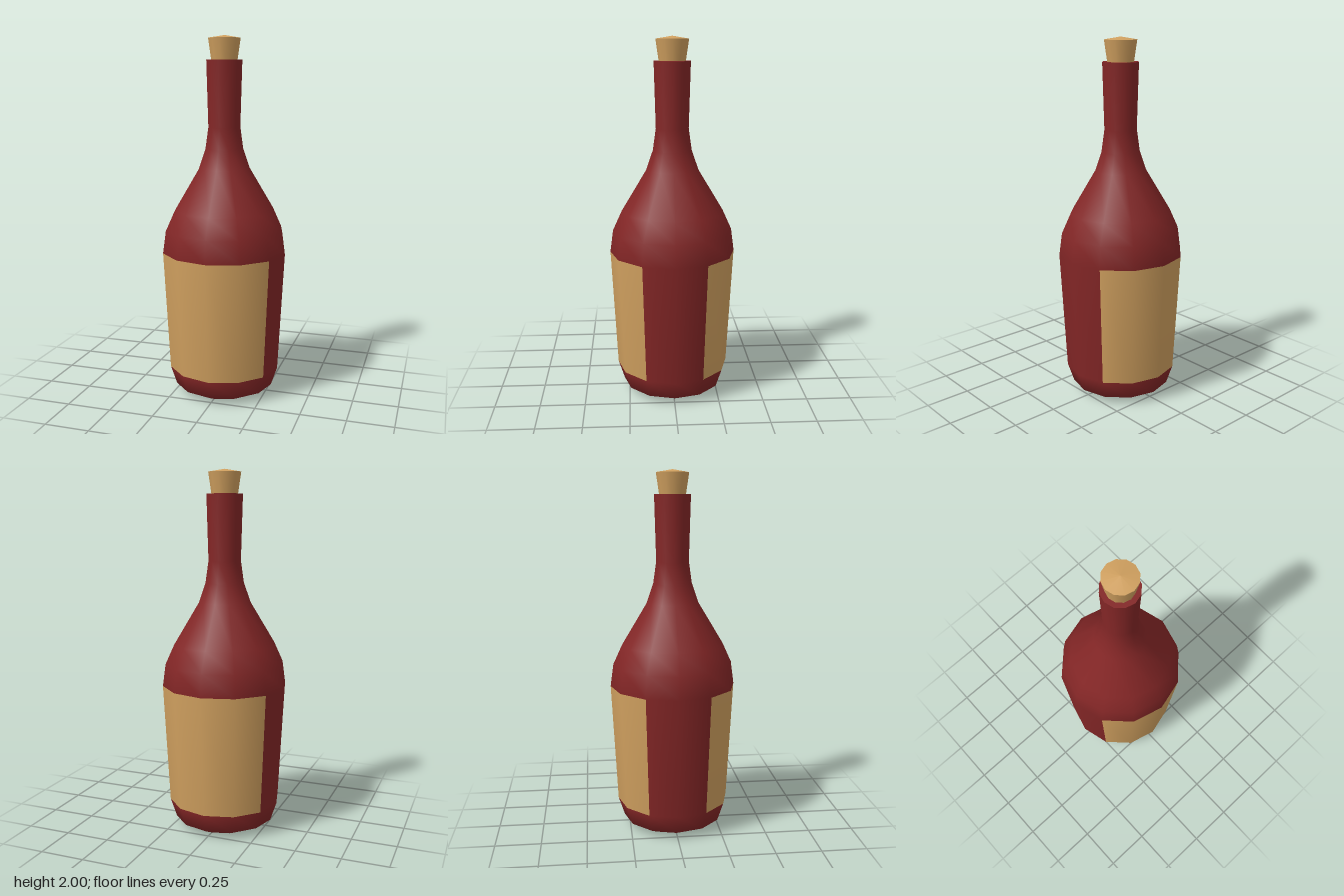
import * as THREE from 'three';

const SIDES = 12;
const glass = new THREE.MeshStandardMaterial({ color: 0x832626 });
glass.name = 'redGlass';
const tan = new THREE.MeshStandardMaterial({ color: 0xd0a05f });
tan.name = 'tanPaperAndCork';

const lathe = (points) =>
  new THREE.LatheGeometry(points.map(([r, y]) => new THREE.Vector2(r, y)), SIDES);

function add(group, name, geometry, material) {
  const mesh = new THREE.Mesh(geometry, material);
  mesh.name = name;
  group.add(mesh);
}

export function createModel() {
  const bottle = new THREE.Group();
  bottle.name = 'bottle';

  // Body and neck; the straight wall carries a front and a back label
  const profile = [
    [0, 0], [0.2, 0], [0.28, 0.04], [0.315, 0.145], [0.35, 0.815], [0.333, 0.94],
    [0.283, 1.05], [0.145, 1.28], [0.107, 1.39], [0.09, 1.51], [0.1, 1.87],
  ];
  const body = lathe(profile);
  const bands = profile.length - 1;
  const labelBand = 3;
  const labelSides = [0, 1, 4, 5, 6, 7, 10, 11];
  for (let side = 0; side < SIDES; side++) {
    for (let band = 0; band < bands; band++) {
      const isLabel = band === labelBand && labelSides.includes(side);
      body.addGroup((side * bands + band) * 6, 6, isLabel ? 1 : 0);
    }
  }
  add(bottle, 'bodyWithLabels', body, [glass, tan]);

  // Flat lip around the mouth
  add(bottle, 'lip', lathe([[0.1, 1.87], [0.06, 1.87]]), glass);

  // Tapered cork with a slightly raised top
  add(bottle, 'corkSide', lathe([[0.07, 1.85], [0.09, 1.985]]), tan);
  add(bottle, 'corkTop', lathe([[0.09, 1.985], [0, 2]]), tan);

  return bottle;
}
